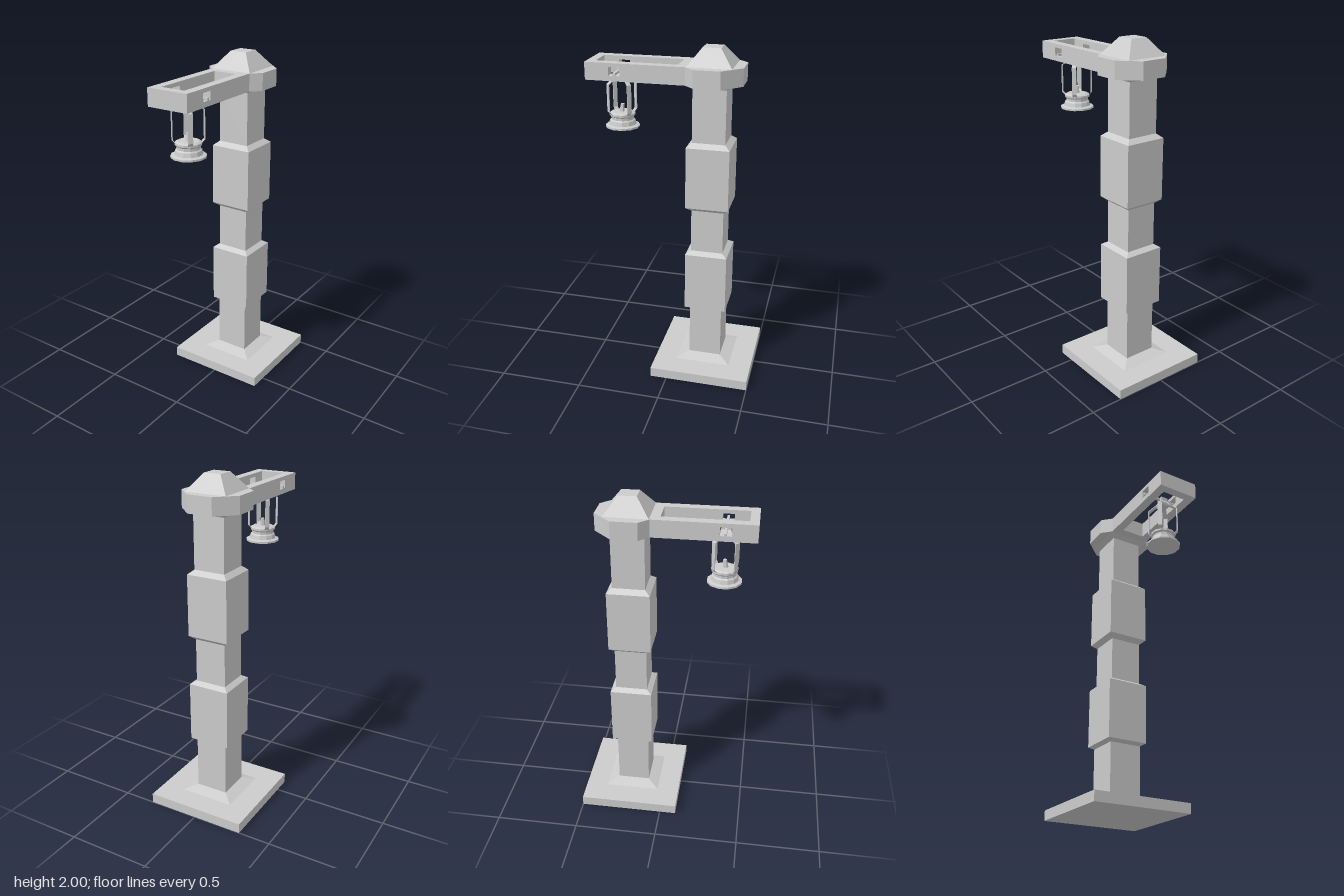
import * as THREE from 'three';

const POST_Z = -0.2;
const LAMP_Z = 0.328;
const material = new THREE.MeshStandardMaterial({ color: 0xcccccc, flatShading: true });
const stripMaterial = new THREE.MeshStandardMaterial({ color: 0xcccccc, flatShading: true, side: THREE.DoubleSide });

function add(parent, name, geometry, x = 0, y = 0, z = 0, mat = material) {
  const mesh = new THREE.Mesh(geometry, mat);
  mesh.name = name;
  mesh.position.set(x, y, z);
  parent.add(mesh);
  return mesh;
}

// Revolved profile of [radius, height] pairs
function turned(profile, sides, start = 0) {
  return new THREE.LatheGeometry(profile.map(([r, y]) => new THREE.Vector2(r, y)), sides, start);
}

// Square section body from [half width, height] pairs
function squareLoft(profile) {
  return turned(profile.map(([h, y]) => [h * Math.SQRT2, y]), 4, Math.PI / 4);
}

// Flat strap of constant width following [radius, height] pairs
function strap(path, width, thickness) {
  const shape = new THREE.Shape();
  path.forEach(([r, y], i) => (i ? shape.lineTo(r, y) : shape.moveTo(r, y)));
  [...path].reverse().forEach(([r, y]) => shape.lineTo(r - thickness, y - thickness * 0.4));
  const geometry = new THREE.ExtrudeGeometry(shape, { depth: width, bevelEnabled: false });
  return geometry.translate(0, 0, -width / 2);
}

function createPost() {
  const post = new THREE.Group();
  post.name = 'post';
  post.position.z = POST_Z;
  add(post, 'basePlate', new THREE.BoxGeometry(0.61, 0.06, 0.6), 0, 0.03, 0);
  add(post, 'column', squareLoft([
    [0.165, 0.06], [0.098, 0.085], [0.098, 0.405],
    [0.125, 0.42], [0.125, 0.78], [0.095, 0.8], [0.095, 1.06],
    [0.125, 1.085], [0.125, 1.45], [0.095, 1.475], [0.095, 1.785],
    [0.125, 1.805], [0, 1.805],
  ]));
  // Octagonal head with a truncated pyramid on top
  const radius = 0.18 / Math.cos(Math.PI / 8);
  add(post, 'head', new THREE.CylinderGeometry(radius, radius, 0.1, 8, 1, false, Math.PI / 8), 0, 1.855, 0);
  add(post, 'roof', squareLoft([[0.126, 1.904], [0.051, 2], [0, 2]]));
  return post;
}

function createArm() {
  const arm = new THREE.Group();
  arm.name = 'arm';
  // Side beam with a small window
  const side = new THREE.Shape();
  side.moveTo(-0.14, 1.805).lineTo(0.5, 1.805).lineTo(0.5, 1.905).lineTo(-0.14, 1.905);
  const hole = new THREE.Path();
  hole.moveTo(0.298, 1.835).lineTo(0.298, 1.883).lineTo(0.363, 1.883).lineTo(0.363, 1.835);
  side.holes.push(hole);
  const beam = new THREE.ExtrudeGeometry(side, { depth: 0.053, bevelEnabled: false }).rotateY(-Math.PI / 2);
  add(arm, 'leftBeam', beam, 0.126, 0, 0);
  add(arm, 'rightBeam', beam, -0.073, 0, 0);
  add(arm, 'frontBeam', new THREE.BoxGeometry(0.146, 0.1, 0.05), 0, 1.855, 0.475);
  // Rod the lantern hangs from
  add(arm, 'hangingRod', new THREE.BoxGeometry(0.266, 0.014, 0.014), 0, 1.845, LAMP_Z);
  return arm;
}

function createLantern() {
  const lantern = new THREE.Group();
  lantern.name = 'lantern';
  lantern.position.z = LAMP_Z;
  add(lantern, 'lanternBase', turned([
    [0, 1.513], [0.1, 1.513], [0.1, 1.524], [0.08, 1.53], [0.074, 1.553],
    [0.066, 1.56], [0.066, 1.575], [0.075, 1.583], [0.075, 1.595], [0.06, 1.603], [0, 1.603],
  ], 12, Math.PI / 12));
  const wick = add(lantern, 'candle', new THREE.CylinderGeometry(0.011, 0.016, 0.05, 6), 0, 1.622, 0);
  wick.rotation.x = -0.12;
  add(lantern, 'lanternCap', squareLoft([
    [0, 1.795], [0.03, 1.795], [0.034, 1.81], [0.022, 1.83], [0.022, 1.855], [0, 1.855],
  ]));
  // Four bent straps joining base and cap
  const geometry = strap([[0.07, 1.588], [0.09, 1.61], [0.09, 1.77], [0.034, 1.812]], 0.026, 0.005);
  for (let i = 0; i < 4; i++) {
    add(lantern, 'strap', geometry, 0, 0, 0, stripMaterial).rotation.y = Math.PI / 4 + i * Math.PI / 2;
  }
  return lantern;
}

export function createModel() {
  const model = new THREE.Group();
  model.name = 'lanternPost';
  model.add(createPost(), createArm(), createLantern());
  return model;
}
